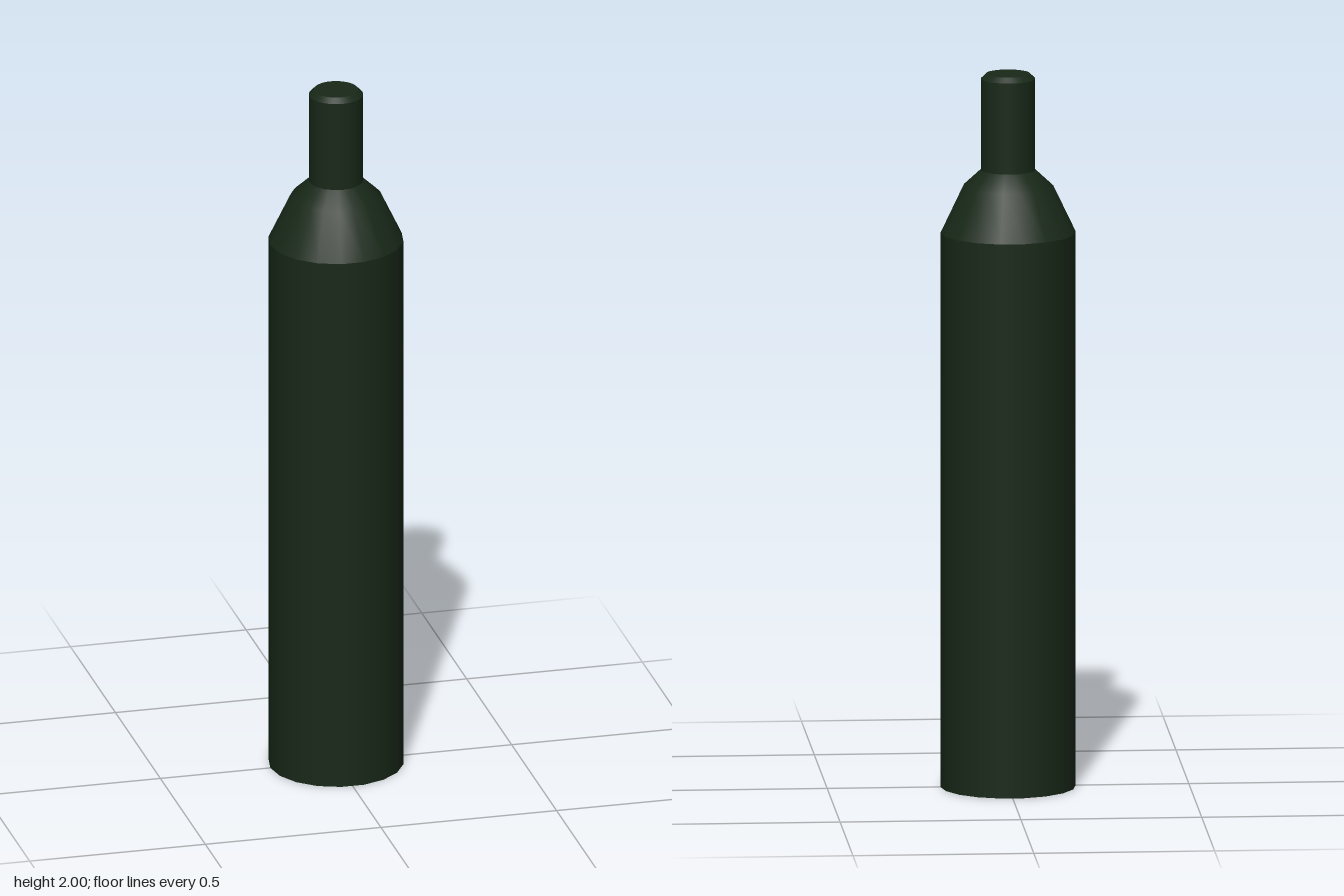
import * as THREE from 'three';

const glass = new THREE.MeshStandardMaterial({ color: 0x182818 });

// Revolve each band of the profile separately, so edges between bands stay sharp
function revolve(name, sides, bands) {
  const part = new THREE.Group();
  part.name = name;
  bands.forEach((band, i) => {
    const points = band.map(([r, y]) => new THREE.Vector2(r, y));
    const mesh = new THREE.Mesh(new THREE.LatheGeometry(points, sides, Math.PI / 2), glass);
    mesh.name = `${name}Band${i + 1}`;
    part.add(mesh);
  });
  return part;
}

export function createModel() {
  const bottle = new THREE.Group();
  bottle.name = 'bottle';

  // Straight body with a flat base
  bottle.add(revolve('body', 18, [
    [[0, 0], [0.187, 0]],
    [[0.187, 0], [0.187, 1.555]],
  ]));

  // Two-step tapered shoulder
  bottle.add(revolve('shoulder', 18, [
    [[0.187, 1.555], [0.125, 1.685], [0.074, 1.732]],
  ]));

  // Neck with a chamfered, closed top
  bottle.add(revolve('neck', 36, [
    [[0.075, 1.725], [0.075, 1.986]],
    [[0.075, 1.986], [0.061, 2]],
    [[0.061, 2], [0, 2]],
  ]));

  return bottle;
}
